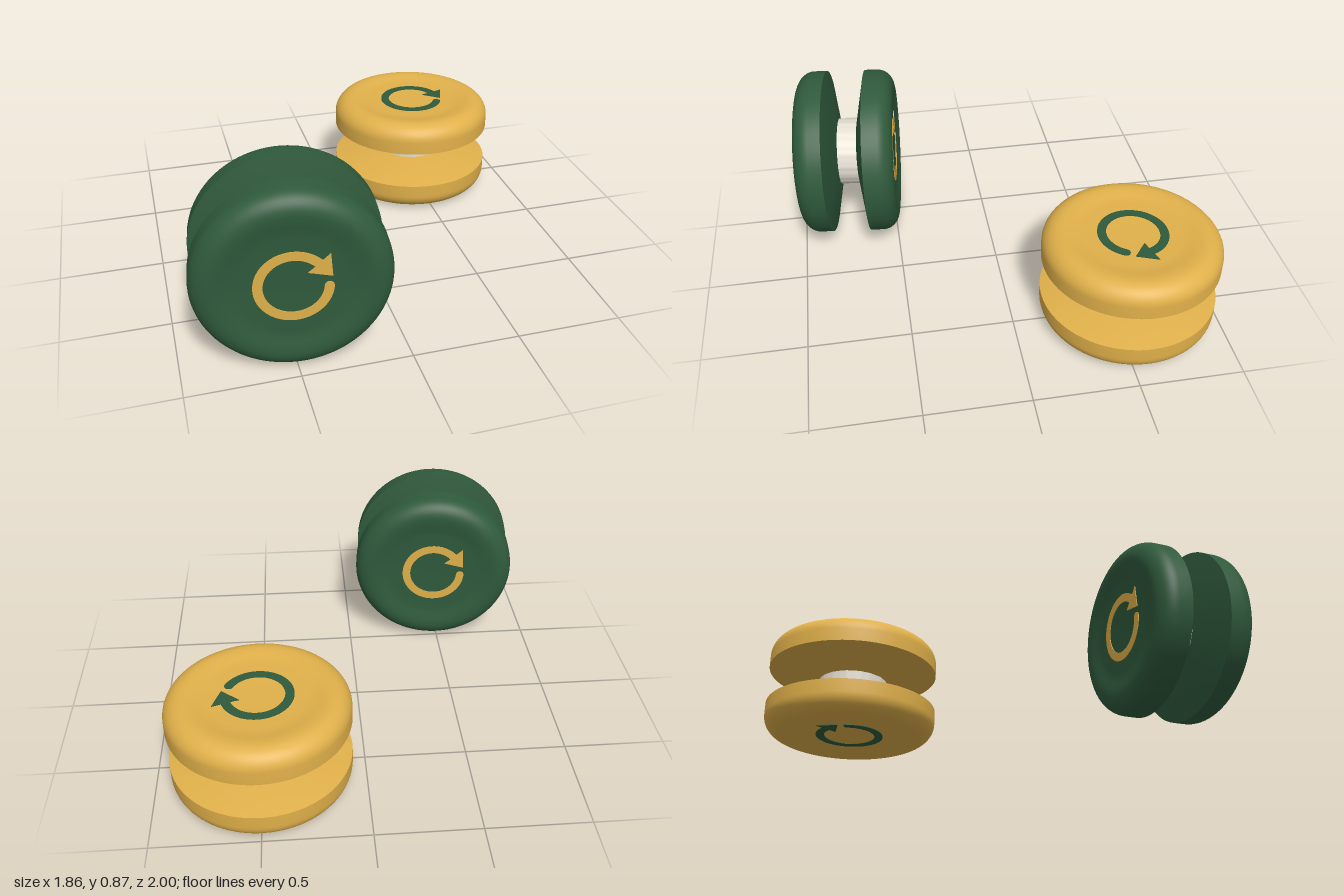
import * as THREE from 'three';
import { toCreasedNormals } from 'three/addons/utils/BufferGeometryUtils.js';

const deg = THREE.MathUtils.degToRad;
const green = new THREE.MeshStandardMaterial({ color: 0x2f5a3c });
const yellow = new THREE.MeshStandardMaterial({ color: 0xe0b04a });
const cream = new THREE.MeshStandardMaterial({ color: 0xe6e0d4 });

// One half: flared inner face, straight rim, rounded shoulder, shallow dished cap; axis along z
function halfGeometry() {
  const pts = [[0, 0.05], [0.175, 0.05], [0.43, 0.1]].map(([r, z]) => new THREE.Vector2(r, z));
  for (let i = 0; i <= 10; i++) {
    const a = (i / 10) * Math.PI / 2;
    pts.push(new THREE.Vector2(0.34 + 0.09 * Math.cos(a), 0.165 + 0.085 * Math.sin(a)));
  }
  // smooth step down into the dish
  for (let i = 1; i <= 6; i++) {
    const t = i / 6;
    pts.push(new THREE.Vector2(0.34 - 0.11 * t, 0.25 - 0.014 * t * t * (3 - 2 * t)));
  }
  pts.push(new THREE.Vector2(0, 0.235));
  return toCreasedNormals(new THREE.LatheGeometry(pts, 96).rotateX(Math.PI / 2), deg(30));
}

// Flat circular arrow: open ring with one rounded end and a triangular head
function arrowGeometry() {
  const outer = 0.169, inner = 0.127, start = deg(44), end = deg(356);
  const mid = (outer + inner) / 2;
  const s = new THREE.Shape();
  s.absarc(0, 0, outer, start, end, false);
  s.absarc(mid * Math.cos(end), mid * Math.sin(end), (outer - inner) / 2, end, end + Math.PI, false);
  s.absarc(0, 0, inner, end, start, true);
  s.lineTo(0.06, 0.062);
  s.lineTo(0.163, 0.037);
  s.lineTo(0.155, 0.148);
  s.closePath();
  const g = new THREE.ExtrudeGeometry(s, { depth: 0.01, bevelEnabled: false, curveSegments: 40 });
  return g.translate(0, 0, 0.229);
}

// Wound string with faint ripples around the spool
function stringGeometry() {
  const g = new THREE.CylinderGeometry(0.175, 0.175, 0.104, 96, 1, true).rotateX(Math.PI / 2);
  const p = g.attributes.position;
  for (let i = 0; i < p.count; i++) {
    const a = Math.atan2(p.getY(i), p.getX(i));
    const k = 1 + 0.005 * Math.sin(a * 17) + 0.004 * Math.sin(a * 29);
    p.setXY(i, p.getX(i) * k, p.getY(i) * k);
  }
  g.computeVertexNormals();
  return g;
}

function makeYoyo(name, bodyMaterial, arrowMaterial) {
  const yoyo = new THREE.Group();
  yoyo.name = name;
  const add = (parent, partName, geometry, material) => {
    const mesh = new THREE.Mesh(geometry, material);
    mesh.name = partName;
    parent.add(mesh);
  };
  const body = halfGeometry(), arrow = arrowGeometry();
  ['frontHalf', 'backHalf'].forEach((halfName, i) => {
    const half = new THREE.Group();
    half.name = halfName;
    half.rotation.y = i * Math.PI;
    add(half, 'shell', body, bodyMaterial);
    add(half, 'circularArrow', arrow, arrowMaterial);
    yoyo.add(half);
  });
  add(yoyo, 'woundString', stringGeometry(), cream);
  return yoyo;
}

export function createModel() {
  const model = new THREE.Group();
  model.name = 'yoyoPair';

  // Upright on its rims, turned slightly
  const standing = makeYoyo('standingYoyo', green, yellow);
  standing.position.set(-0.485, 0.435, 0.715);
  standing.rotation.y = -0.11;

  // Lying flat on one cap
  const lying = makeYoyo('lyingYoyo', yellow, green);
  lying.position.set(0.495, 0.25, -0.57);
  lying.rotation.set(-Math.PI / 2, 0, deg(-25));

  model.add(standing, lying);
  return model;
}
